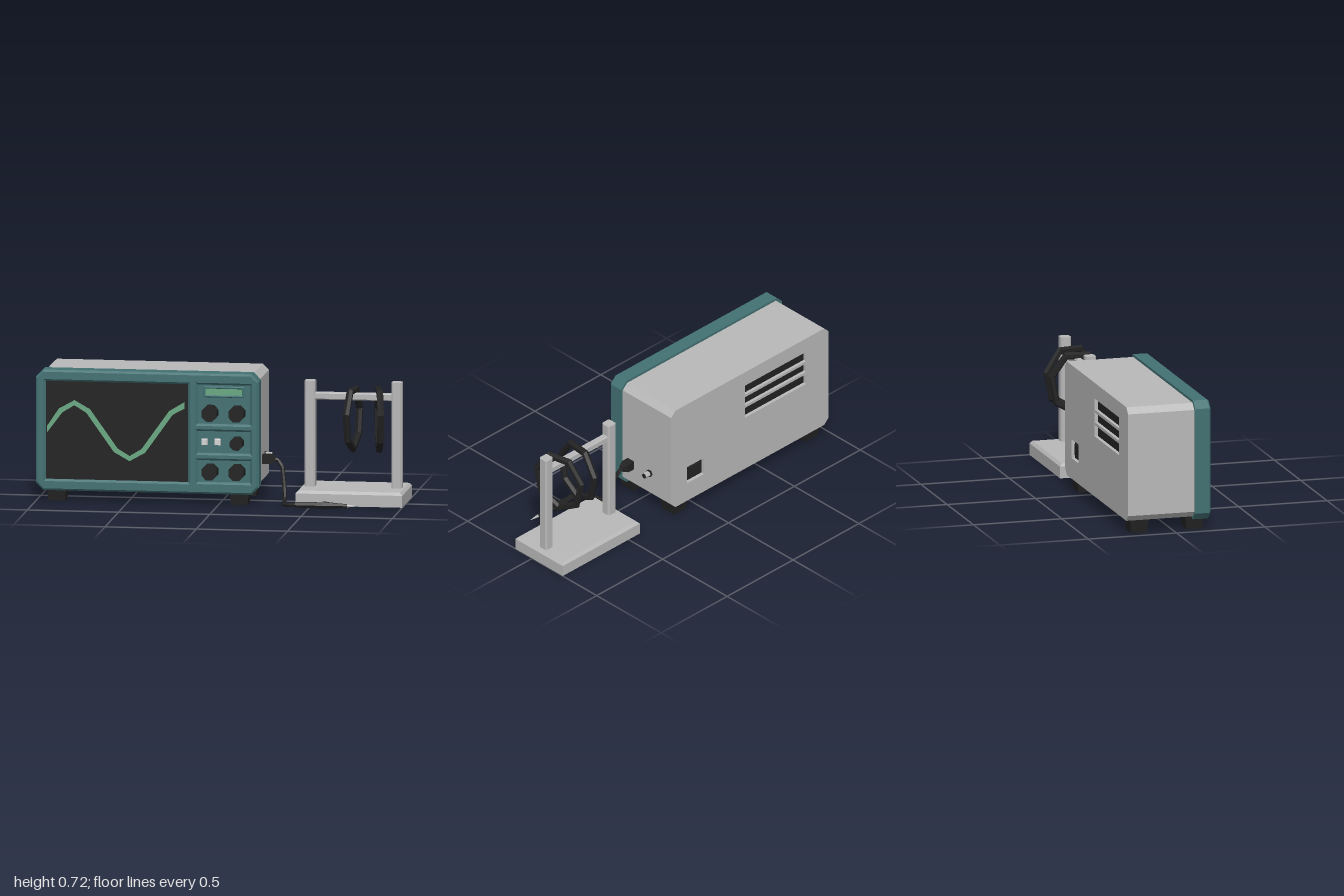
import * as THREE from 'three';
import { toCreasedNormals } from 'three/addons/utils/BufferGeometryUtils.js';

const material = (name, color) => {
  const m = new THREE.MeshStandardMaterial({ color });
  m.name = name;
  return m;
};

// Rectangle with chamfered corners
function octagon(x0, x1, y0, y1, c, Type = THREE.Shape) {
  const pts = c
    ? [[x0 + c, y0], [x1 - c, y0], [x1, y0 + c], [x1, y1 - c], [x1 - c, y1], [x0 + c, y1], [x0, y1 - c], [x0, y0 + c]]
    : [[x0, y0], [x1, y0], [x1, y1], [x0, y1]];
  return new Type(pts.map(p => new THREE.Vector2(...p)));
}

// Extruded outline with rectangular holes, between z0 and z1
function slab(outline, z0, z1, holes = [], bevel = 0) {
  for (const h of holes) outline.holes.push(octagon(...h, 0, THREE.Path));
  return new THREE.ExtrudeGeometry(outline, {
    depth: z1 - z0 - 2 * bevel, bevelEnabled: bevel > 0, bevelSegments: 1,
    bevelThickness: bevel, bevelSize: bevel, bevelOffset: -bevel,
  }).translate(0, 0, z0 + bevel);
}

// Box whose top face is inset, standing on y = 0
function taper(w, h, d, inset) {
  const g = new THREE.BoxGeometry(w, h, d).translate(0, h / 2, 0);
  const p = g.attributes.position;
  for (let i = 0; i < p.count; i++) {
    if (p.getY(i) < h / 2) continue;
    p.setX(i, p.getX(i) - Math.sign(p.getX(i)) * inset);
    p.setZ(i, p.getZ(i) - Math.sign(p.getZ(i)) * inset);
  }
  return g;
}

export function createModel() {
  const teal = material('teal bezel', 0x437173);
  const grey = material('grey metal', 0xb8b8b8);
  const black = material('black plastic', 0x222222);
  const green = material('green trace', 0x69aa82);
  const white = material('pale button', 0xd6d6d6);

  const model = new THREE.Group();
  model.name = 'benchInstrument';
  const add = (name, geo, mat, x = 0, y = 0, z = 0) => {
    const mesh = new THREE.Mesh(toCreasedNormals(geo, 0.15), mat);
    mesh.name = name;
    mesh.position.set(x, y, z);
    model.add(mesh);
    return mesh;
  };
  const box = (name, mat, x0, x1, y0, y1, z0, z1) =>
    add(name, new THREE.BoxGeometry(x1 - x0, y1 - y0, z1 - z0), mat, (x0 + x1) / 2, (y0 + y1) / 2, (z0 + z1) / 2);

  // Case, with openings in the back panel
  const caseOutline = () => octagon(-0.985, 0.21, 0.075, 0.708, 0.033);
  const vent = [-0.815, -0.35, 0.41, 0.62], socket = [-0.04, 0.09, 0.19, 0.295];
  add('case', slab(caseOutline(), -0.245, 0.11), grey);
  add('backPanel', slab(caseOutline(), -0.27, -0.245, [vent, socket]), grey);
  box('ventBacking', black, ...vent, -0.25, -0.244);
  for (const y of [0.48, 0.55]) box('ventLouver', grey, -0.815, -0.35, y - 0.008, y + 0.008, -0.268, -0.248);
  box('socketBacking', black, ...socket, -0.25, -0.244);
  box('socketInsert', black, -0.015, 0.065, 0.212, 0.273, -0.26, -0.249);

  // Bezel with a screen recess and three control recesses
  const bezelOutline = () => octagon(-1, 0.222, 0.06, 0.722, 0.04);
  const screen = [-0.945, -0.165, 0.122, 0.66];
  const panels = [[0.445, 0.66], [0.285, 0.405], [0.125, 0.245]].map(y => [-0.112, 0.175, ...y]);
  add('bezelBack', slab(bezelOutline(), 0.105, 0.175), teal);
  add('bezelFront', slab(bezelOutline(), 0.155, 0.196, [screen, ...panels], 0.011), teal);
  box('screen', black, ...screen, 0.174, 0.18);

  // Sine trace as a thin ribbon
  const wave = Array.from({ length: 11 }, (_, i) =>
    new THREE.Vector2(-0.94 + i * 0.0755, 0.393 + 0.15 * Math.sin(i * Math.PI / 4)));
  const upper = [], lower = [];
  wave.forEach((p, i) => {
    const a = wave[Math.max(i - 1, 0)], b = wave[Math.min(i + 1, 10)];
    const t = b.clone().sub(a).normalize();
    const n = new THREE.Vector2(-t.y, t.x).multiplyScalar(0.014);
    if (i === 0 || i === 10) n.set(0, 0.018);
    upper.push(p.clone().add(n));
    lower.unshift(p.clone().sub(n));
  });
  add('trace', slab(new THREE.Shape([...upper, ...lower]), 0.179, 0.184), green);

  // Readout, buttons and knobs
  add('readoutFrame', slab(octagon(-0.082, 0.142, 0.59, 0.65, 0), 0.17, 0.185, [[-0.07, 0.13, 0.602, 0.638]], 0.004), teal);
  box('readout', green, -0.07, 0.13, 0.602, 0.638, 0.174, 0.179);
  for (const x of [-0.077, -0.004]) add('button', taper(0.036, 0.02, 0.036, 0.003).rotateX(Math.PI / 2), white, x, 0.345, 0.174);
  for (const [x, y, r] of [[-0.043, 0.507, 0.045], [0.105, 0.507, 0.045], [0.105, 0.344, 0.037], [-0.043, 0.185, 0.045], [0.105, 0.185, 0.045]])
    add('knob', new THREE.CylinderGeometry(r, r, 0.07, 8).rotateY(Math.PI / 8).rotateX(Math.PI / 2), black, x, y, 0.206);

  // Feet
  for (const x of [-0.888, 0.112]) for (const z of [0.121, -0.193])
    add('foot', taper(0.09, 0.08, 0.09, -0.009), black, x, 0, z);

  // Side jack
  const alongX = (r0, r1, len, n = 6) => new THREE.CylinderGeometry(r1, r0, len, n).rotateZ(-Math.PI / 2);
  add('jackCollar', alongX(0.021, 0.021, 0.012), black, 0.214, 0.235, -0.105);
  add('jack', alongX(0.016, 0.016, 0.045), grey, 0.23, 0.235, -0.105);
  add('jackEnd', alongX(0.015, 0.015, 0.003), black, 0.2535, 0.235, -0.105);

  // Probe with plug and cable
  add('plug', taper(0.05, 0.045, 0.05, 0).rotateZ(-Math.PI / 2), black, 0.22, 0.235, 0.031);
  add('plugNeck', taper(0.05, 0.03, 0.05, 0.011).rotateZ(-Math.PI / 2), black, 0.262, 0.235, 0.031);
  const path = new THREE.CurvePath();
  const stops = [[0.27, 0.237, 0.031], [0.305, 0.23, 0.031], [0.33, 0.195, 0.04], [0.343, 0.1, 0.062],
    [0.35, 0.03, 0.085], [0.352, 0.013, 0.12], [0.362, 0.013, 0.2], [0.4, 0.016, 0.232], [0.45, 0.022, 0.247]]
    .map(p => new THREE.Vector3(...p));
  for (let i = 1; i < stops.length; i++) path.add(new THREE.LineCurve3(stops[i - 1], stops[i]));
  add('cable', new THREE.TubeGeometry(path, 40, 0.012, 6), black);
  add('probeBody', alongX(0.016, 0.018, 0.16), black, 0.51, 0.022, 0.247);
  add('probeCollar', alongX(0.023, 0.021, 0.03), black, 0.595, 0.022, 0.247);
  add('probeNose', alongX(0.02, 0.01, 0.11), black, 0.66, 0.022, 0.247);
  add('probeTip', alongX(0.009, 0.001, 0.06), grey, 0.742, 0.022, 0.247);

  // Cable stand
  add('standBase', taper(0.585, 0.065, 0.367, 0), grey, 0.7075, 0, -0.0535);
  add('standBaseTop', taper(0.585, 0.015, 0.367, 0.014), grey, 0.7075, 0.065, -0.0535);
  const bar = (s, len) => slab(octagon(-s, s, -s, s, s * 0.3), 0, len);
  for (const x of [0.47, 0.945]) add('standPost', bar(0.029, 0.585).rotateX(-Math.PI / 2), grey, x, 0.075, -0.053);
  add('standCrossbar', bar(0.02, 0.475).rotateY(Math.PI / 2), grey, 0.47, 0.576, -0.053);

  // Hanging cable loops
  for (const [x, turn] of [[0.703, -0.11], [0.847, 0.2]]) {
    const loop = new THREE.TorusGeometry(0.147, 0.02, 6, 7)
      .rotateZ(-Math.PI / 2).rotateY(Math.PI / 2).scale(1, 1.14, 1).rotateY(turn);
    add('cableLoop', loop, black, x, 0.456, -0.053);
  }
  return model;
}
